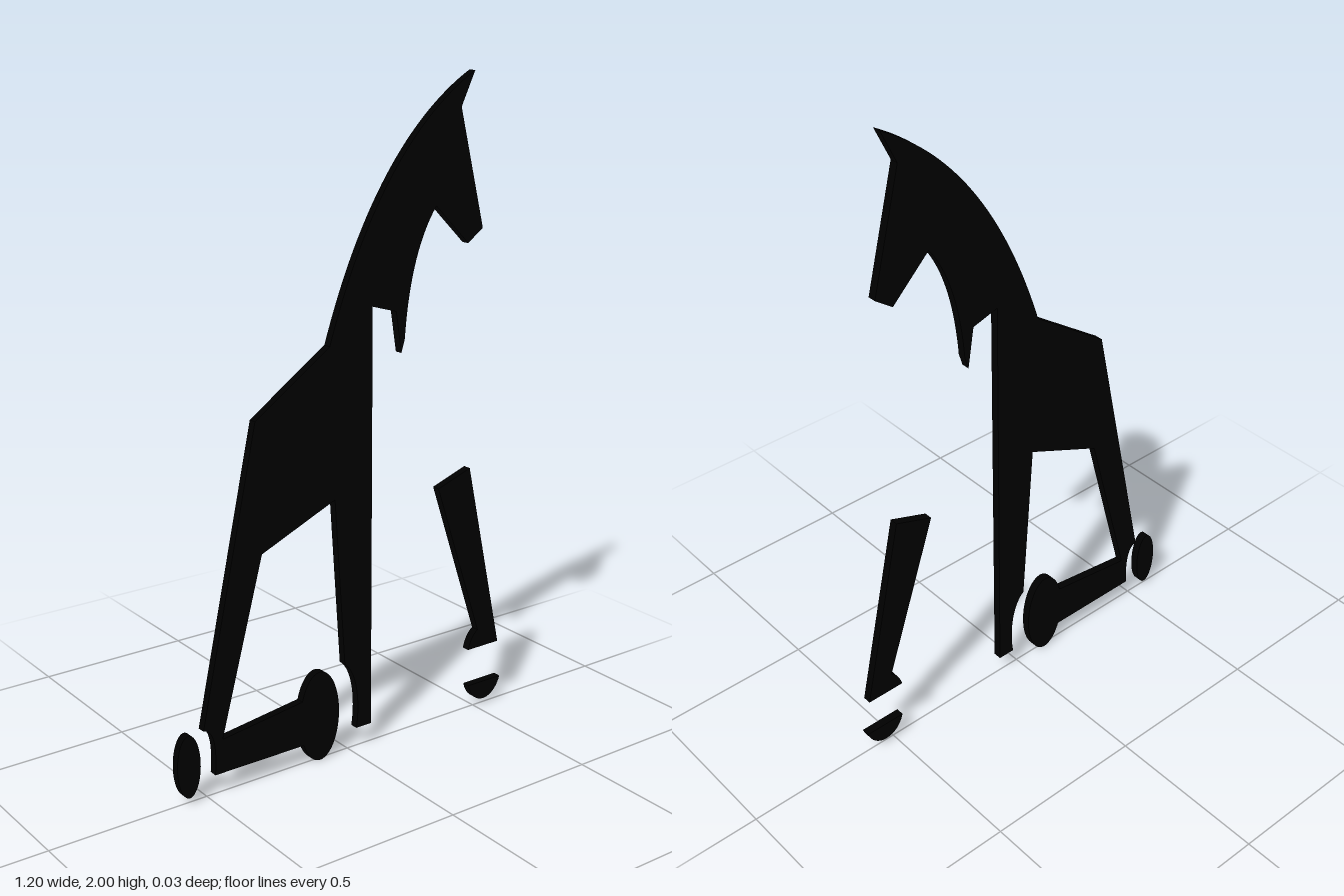
import * as THREE from 'three';

const THICK = 0.026;
const material = new THREE.MeshStandardMaterial({ color: 0x000000 });

// Cuts a flat plate of constant thickness, centred on z = 0
function plate(name, shape) {
  const geometry = new THREE.ExtrudeGeometry(shape, { depth: THICK, bevelEnabled: false, curveSegments: 32 });
  geometry.translate(0, 0, -THICK / 2);
  const mesh = new THREE.Mesh(geometry, material);
  mesh.name = name;
  return mesh;
}

function lines(shape, points) {
  for (const [x, y] of points) shape.lineTo(x, y);
}

export function createModel() {
  const group = new THREE.Group();
  group.name = 'horseSilhouette';

  // Head, neck, body, both near legs, and the axle with its inner wheel
  const body = new THREE.Shape();
  body.moveTo(-0.323, 1.09);
  body.lineTo(-0.07, 1.265);
  body.quadraticCurveTo(0.105, 1.815, 0.443, 2.0); // mane
  lines(body, [[0.395, 1.9], [0.485, 1.545], [0.43, 1.505], [0.308, 1.625]]); // ear and muzzle
  body.quadraticCurveTo(0.215, 1.5, 0.197, 1.25); // throat
  lines(body, [[0.185, 1.21], [0.165, 1.335], [0.08, 1.36], [0.08, 0.065], [0.025, 0.065]]);
  body.bezierCurveTo(0.038, 0.14, 0.03, 0.25, -0.018, 0.285); // gap around inner wheel
  lines(body, [[-0.053, 0.81], [-0.307, 0.7], [-0.45, 0.17], [-0.173, 0.207]]);
  body.absellipse(-0.11, 0.143, 0.07, 0.143, 2.68, 3.72, true); // inner wheel
  body.lineTo(-0.477, 0.065);
  body.bezierCurveTo(-0.472, 0.12, -0.47, 0.21, -0.513, 0.213); // gap around outer wheel
  body.closePath();
  group.add(plate('body', body));

  // Separate outer wheel
  const wheel = new THREE.Shape();
  wheel.absellipse(-0.563, 0.117, 0.038, 0.097, 0, Math.PI * 2);
  group.add(plate('outerWheel', wheel));

  // Detached foreleg, flaring into the upper part of its wheel
  const leg = new THREE.Shape();
  leg.moveTo(0.333, 0.767);
  lines(leg, [[0.455, 0.81], [0.587, 0.205], [0.465, 0.205]]);
  leg.quadraticCurveTo(0.477, 0.25, 0.502, 0.265);
  leg.closePath();
  group.add(plate('foreleg', leg));

  // Lower part of the foreleg wheel
  const foot = new THREE.Shape();
  foot.moveTo(0.47, 0.08);
  foot.bezierCurveTo(0.49, 0, 0.575, 0, 0.6, 0.08);
  foot.closePath();
  group.add(plate('forelegWheel', foot));

  return group;
}
